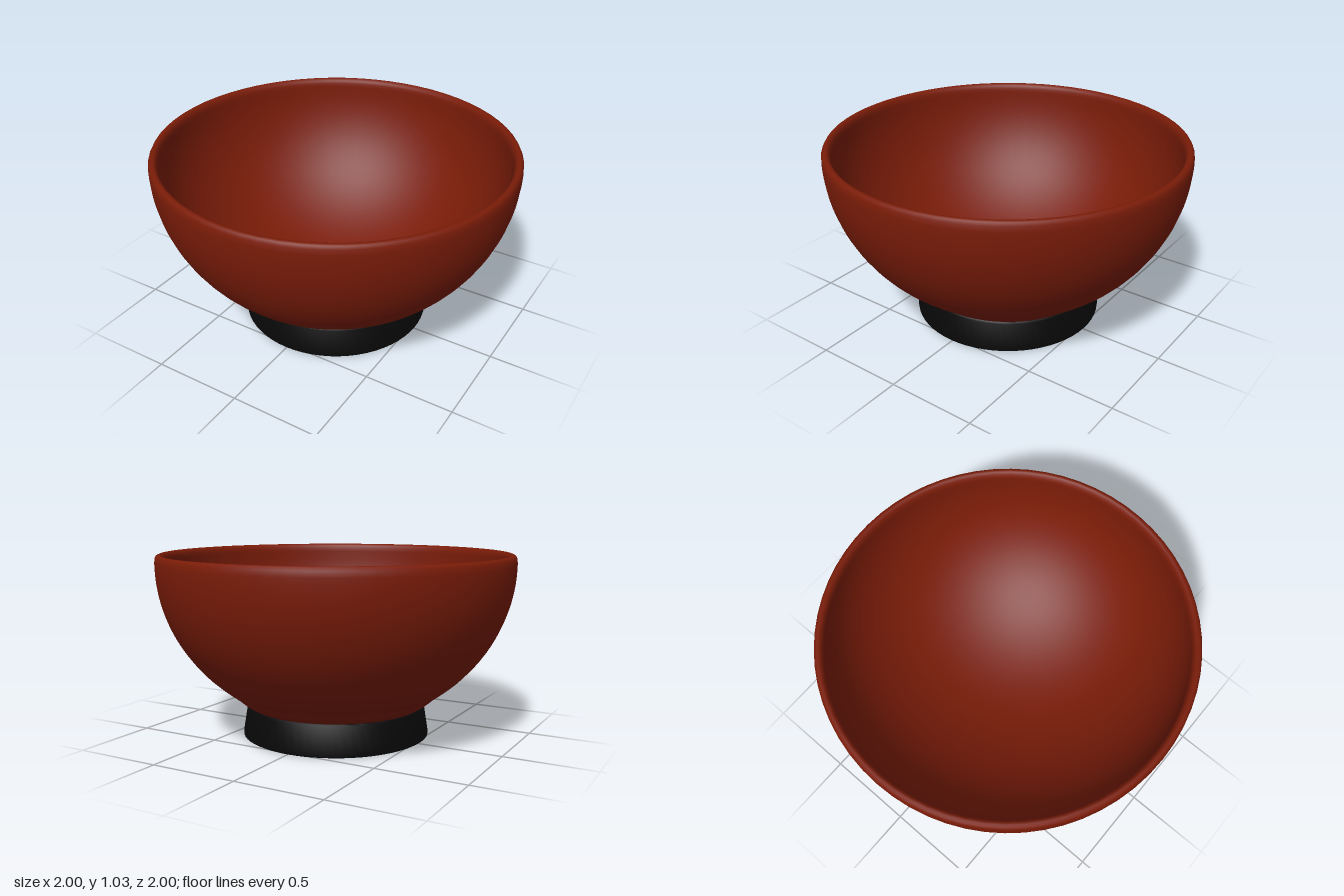
import * as THREE from 'three';
import { toCreasedNormals } from 'three/addons/utils/BufferGeometryUtils.js';

const SEGMENTS = 64;

// Spin a list of [radius, height] pairs around the y axis
function turned(name, profile, material, crease) {
  const points = profile.map(([r, y]) => new THREE.Vector2(r, y));
  const geometry = toCreasedNormals(new THREE.LatheGeometry(points, SEGMENTS), crease);
  const mesh = new THREE.Mesh(geometry, material);
  mesh.name = name;
  return mesh;
}

// Elliptical wall below the rim, from angle a0 to a1 (0 = rim, PI/2 = bottom)
function wall(radius, depth, a0, a1, steps) {
  const points = [];
  for (let i = 0; i <= steps; i++) {
    const a = a0 + (a1 - a0) * i / steps;
    points.push([radius * Math.max(0, Math.cos(a)), 0.985 - depth * Math.sin(a)]);
  }
  return points;
}

export function createModel() {
  const lacquer = new THREE.MeshStandardMaterial({ color: 0x7a1c08 });
  lacquer.name = 'red brown lacquer';
  const black = new THREE.MeshStandardMaterial({ color: 0x080808 });
  black.name = 'black lacquer';

  const model = new THREE.Group();
  model.name = 'footedBowl';

  // Bowl: flared collar, outer wall, rounded rim, inner wall
  const collar = [[0.48, 0.165], [0.5, 0.178], [0.53, 0.196], [0.555, 0.216], [0.58, 0.238]];
  const outer = wall(1, 0.915, 0.92, 0, 24);
  const rim = [[0.998, 1.015], [0.99, 1.03], [0.978, 1.035], [0.967, 1.033], [0.957, 1.022], [0.951, 1.005]];
  const inner = wall(0.95, 0.84, 0, Math.PI / 2, 28);
  model.add(turned('bowl', [...collar, ...outer, ...rim, ...inner], lacquer, 0.9));

  // Foot: tapered base with softened edges, closed below and lipped under the bowl
  const foot = [
    [0, 0], [0.52, 0], [0.531, 0.006], [0.532, 0.018],
    [0.508, 0.165], [0.503, 0.174], [0.493, 0.178], [0.46, 0.178],
  ];
  model.add(turned('foot', foot, black, 0.7));

  return model;
}
